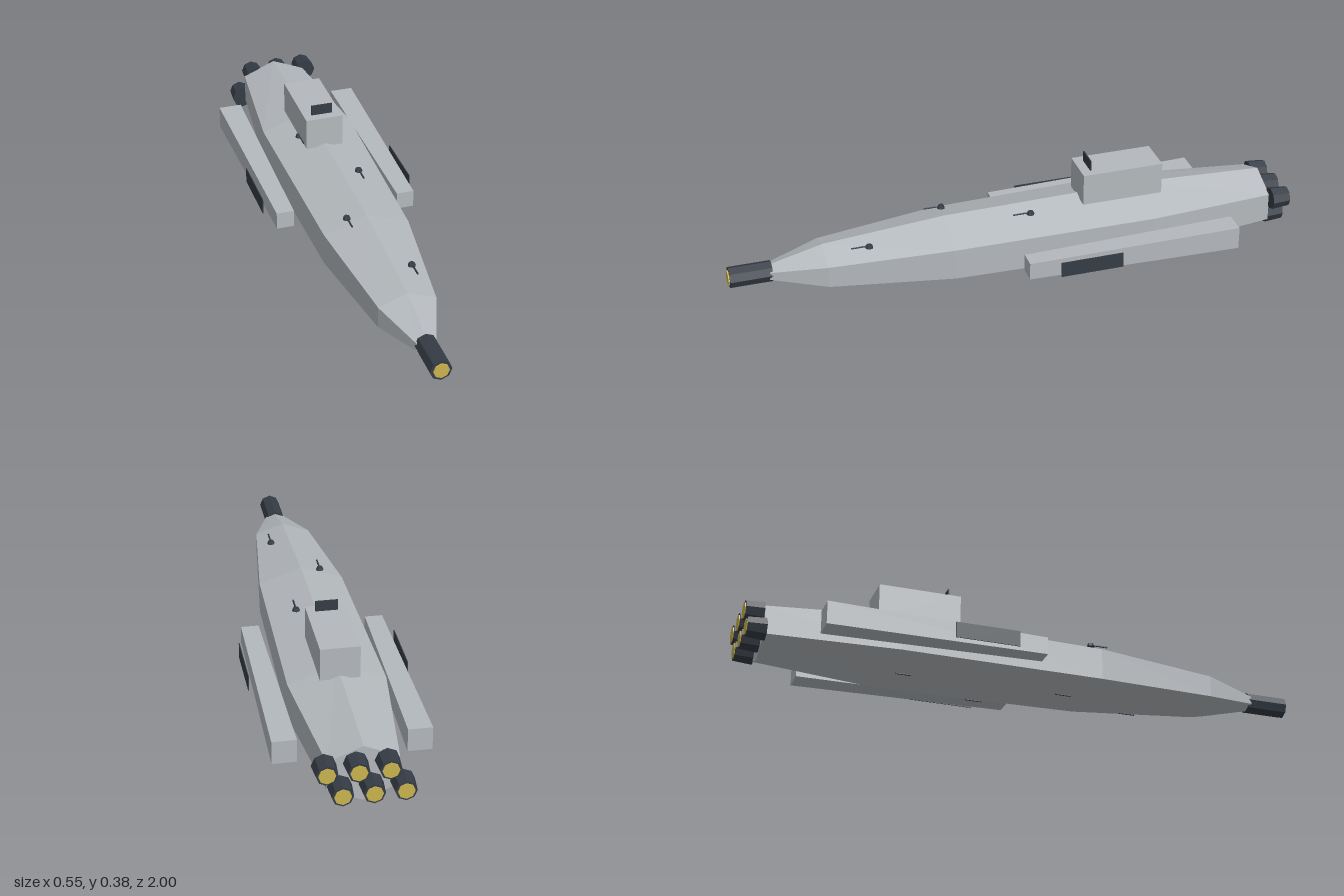
import * as THREE from 'three';

const hullGrey = new THREE.MeshStandardMaterial({ color: 0xb4b9bd, flatShading: true });
hullGrey.name = 'hull grey';
const darkMetal = new THREE.MeshStandardMaterial({ color: 0x353c45, flatShading: true });
darkMetal.name = 'dark metal';
const glowYellow = new THREE.MeshStandardMaterial({ color: 0xcbb44e, flatShading: true });
glowYellow.name = 'glow yellow';

// Closed faceted solid through rings listed front to back, each counter-clockwise seen from +z
function loft(rings) {
  const pos = [];
  const tri = (...pts) => pts.forEach((p) => pos.push(...p));
  const n = rings[0].length;
  const first = rings[0], last = rings[rings.length - 1];
  for (let j = 0; j < n; j++) {
    const k = (j + 1) % n;
    for (let i = 0; i < rings.length - 1; i++) {
      const a = rings[i], b = rings[i + 1];
      tri(a[j], b[j], a[k]);
      tri(a[k], b[j], b[k]);
    }
    if (j > 0 && k > 0) {
      tri(first[0], first[j], first[k]);
      tri(last[0], last[k], last[j]);
    }
  }
  const geo = new THREE.BufferGeometry();
  geo.setAttribute('position', new THREE.Float32BufferAttribute(pos, 3));
  geo.computeVertexNormals();
  return geo;
}

function add(parent, name, geo, mat, x = 0, y = 0, z = 0) {
  const mesh = new THREE.Mesh(geo, mat);
  mesh.name = name;
  mesh.position.set(x, y, z);
  parent.add(mesh);
  return mesh;
}

// Octagonal cylinder lying along z
function tube(rFront, rBack, length, sides = 8) {
  return new THREE.CylinderGeometry(rFront, rBack, length, sides).rotateX(Math.PI / 2);
}

export function createModel() {
  const model = new THREE.Group();
  model.name = 'spaceship';
  const midY = 0.124;

  // Hexagonal hull: [z, width scale, height scale]
  const hex = [[0, 0.121], [-0.165, 0.063], [-0.165, -0.061], [0, -0.122], [0.165, -0.061], [0.165, 0.063]];
  const stations = [[0.86, 0.2, 0.22], [0.67, 0.6, 0.62], [0.24, 0.91, 0.91], [-0.48, 1, 1], [-0.935, 0.7, 0.82]];
  add(model, 'hull', loft(stations.map(([z, sx, sy]) =>
    hex.map(([x, y]) => [x * sx, midY + y * sy, z]))), hullGrey);

  // Nose gun with glowing muzzle
  add(model, 'noseGun', tube(0.037, 0.037, 0.147), darkMetal, 0, 0.126, 0.922);
  add(model, 'noseGlow', tube(0.027, 0.027, 0.006), glowYellow, 0, 0.126, 0.997);

  // Two staggered rows of three engines
  for (const [y, shift] of [[0.167, 0.025], [0.085, -0.025]]) {
    for (const x of [-0.1, 0, 0.1]) {
      add(model, 'engine', tube(0.04, 0.035, 0.064), darkMetal, x + shift, y, -0.965);
      add(model, 'engineGlow', tube(0.028, 0.028, 0.006), glowYellow, x + shift, y, -0.997);
    }
  }

  // Command tower with antenna plate
  add(model, 'tower', new THREE.BoxGeometry(0.134, 0.115, 0.29), hullGrey, 0, 0.2865, -0.393);
  add(model, 'antennaPlate', new THREE.BoxGeometry(0.076, 0.04, 0.004), darkMetal, 0, 0.362, -0.283);

  // Side pods, slightly wider at the back, with dark outer panels
  const square = (h, z) => [[h, h, z], [-h, h, z], [-h, -h, z], [h, -h, z]];
  const podGeo = loft([square(0.031, 0.005), square(0.041, -0.76)]);
  for (const side of [1, -1]) {
    add(model, 'sidePod', podGeo, hullGrey, side * 0.22, 0.113, 0);
    add(model, 'podPanel', new THREE.BoxGeometry(0.003, 0.056, 0.224), darkMetal, side * 0.272, 0.113, -0.213);
  }

  // Small turrets on the back, barrels pointing forward
  for (const [x, y, z] of [[0.066, 0.202, 0.52], [-0.067, 0.231, 0.23], [0.066, 0.231, -0.055], [-0.067, 0.231, -0.345]]) {
    const turret = new THREE.Group();
    turret.name = 'topTurret';
    turret.position.set(x, y, z);
    add(turret, 'turretBase', new THREE.CylinderGeometry(0.01, 0.014, 0.011, 8), darkMetal);
    add(turret, 'barrel', tube(0.003, 0.003, 0.06, 6), darkMetal, 0, 0.001, 0.032);
    model.add(turret);
  }

  // Barrels under the belly
  for (const [x, y, z] of [[0.066, 0.049, 0.415], [-0.067, 0.026, 0.125], [0.066, 0.02, -0.157], [-0.067, 0.02, -0.445]]) {
    add(model, 'bellyBarrel', tube(0.003, 0.003, 0.055, 6), darkMetal, x, y, z);
  }
  return model;
}
